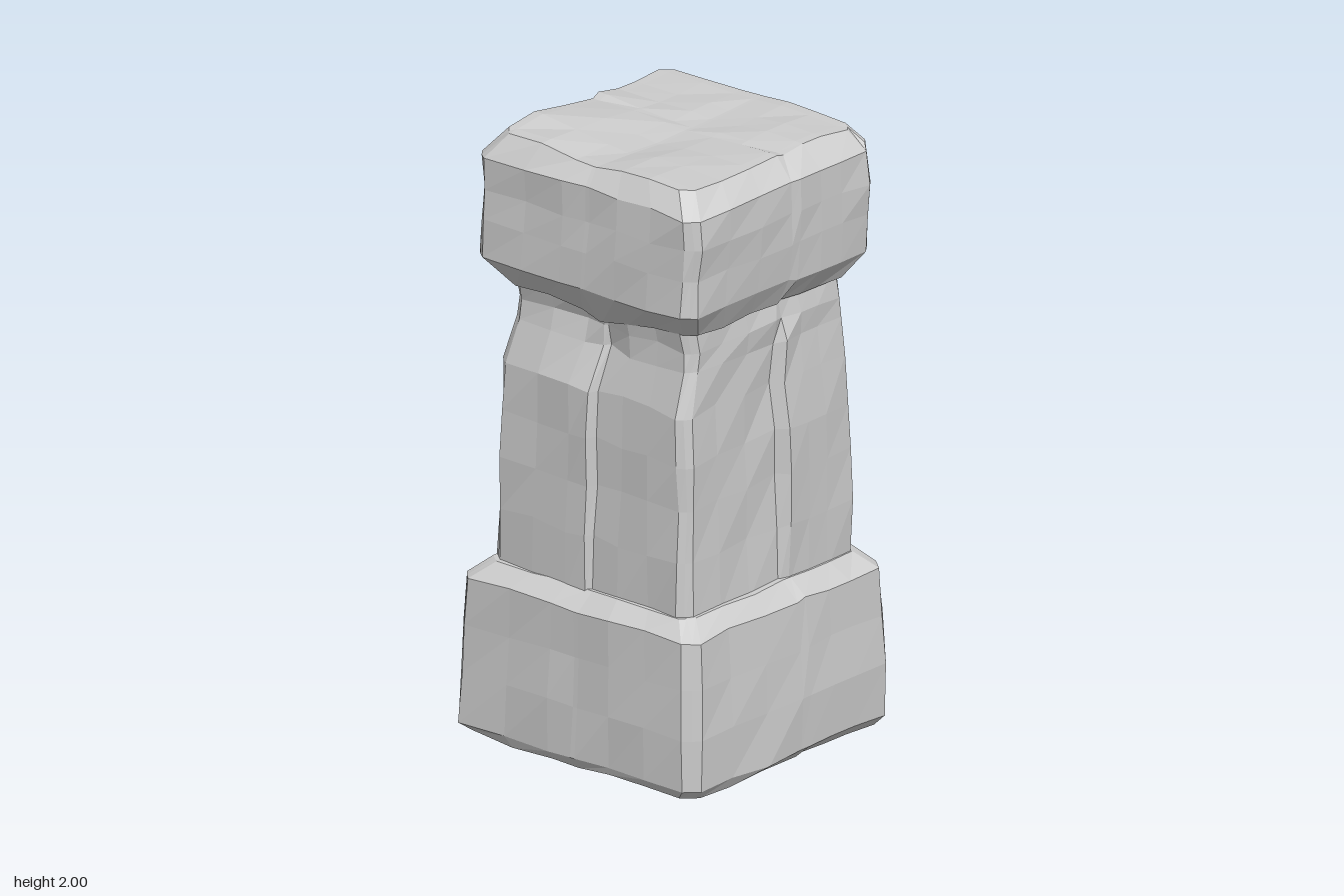
import * as THREE from 'three';

// Column positions across a block; the close pairs carry the cracks.
const COLS_X = [-1, -0.91, -0.55, -0.2, 0, 0.035, 0.3, 0.6, 0.91, 1];
const COLS_Z = [-1, -0.91, -0.62, -0.4, -0.17, -0.09, 0.25, 0.6, 0.91, 1];

// Repeatable value in -1..1 for a grid point
function hash(i, j, k, seed) {
  const s = Math.sin(i * 12.9898 + j * 78.233 + k * 37.719 + seed * 51.17) * 43758.5453;
  return (s - Math.floor(s)) * 2 - 1;
}

// Rough stone block. Each row is [y, xMin, xMax, zMin, zMax], bottom to top.
function stoneBlock(rows, { seed, rough, skew, adjust }) {
  const nx = COLS_X.length - 1, nz = COLS_Z.length - 1, ny = rows.length - 1;
  const geo = new THREE.BoxGeometry(2, 2, 2, nx, ny, nz);
  const pos = geo.attributes.position;
  for (let n = 0; n < pos.count; n++) {
    const i = Math.round((pos.getX(n) + 1) / 2 * nx);
    const j = Math.round((pos.getY(n) + 1) / 2 * ny);
    const k = Math.round((pos.getZ(n) + 1) / 2 * nz);
    const u = COLS_X[i], w = COLS_Z[k];
    const [y, x0, x1, z0, z1] = rows[j];
    // pull the vertical corners in to make a chamfer
    const c = Math.abs(u) === 1 && Math.abs(w) === 1 ? 0.955 : 1;
    const p = new THREE.Vector3(
      (x0 + x1) / 2 + u * c * (x1 - x0) / 2 + skew * w,
      y,
      (z0 + z1) / 2 + w * c * (z1 - z0) / 2 - skew * u);
    // coarse cells keep neighbouring crack columns together
    const a = Math.round(u * 4), b = Math.round(w * 4);
    if (Math.abs(u) === 1) p.x += rough * hash(a, j, b, seed);
    if (Math.abs(w) === 1) p.z += rough * hash(a, j, b, seed + 1);
    p.y += rough * hash(a, j, b, seed + 2);
    adjust?.(p, u, w, j);
    pos.setXYZ(n, p.x, Math.max(0, Math.min(2, p.y)), p.z);
  }
  geo.computeVertexNormals();
  return geo;
}

// Split face: one half stands proud, the other sinks, fading to the corners
function crackOffset(t, edge, depth) {
  return t <= edge ? depth * (1 + t) : -depth * (1 - t);
}

export function createModel() {
  const group = new THREE.Group();
  group.name = 'stonePillar';
  const stone = new THREE.MeshStandardMaterial({ color: 0xcccccc, flatShading: true });
  stone.name = 'grey stone';
  const add = (name, geo) => {
    const mesh = new THREE.Mesh(geo, stone);
    mesh.name = name;
    group.add(mesh);
  };

  // Base block with a bevelled top and a small bevel underneath
  add('base', stoneBlock([
    [0.01, -0.46, 0.47, -0.455, 0.455],
    [0.04, -0.495, 0.5, -0.475, 0.475],
    [0.21, -0.485, 0.498, -0.473, 0.473],
    [0.37, -0.477, 0.492, -0.468, 0.468],
    [0.525, -0.463, 0.482, -0.458, 0.465],
    [0.58, -0.4, 0.42, -0.405, 0.405],
  ], { seed: 3, rough: 0.007, skew: 0.016 }));

  // Shaft, cracked down the middle of its faces and pinched under the cap
  const crackStrength = [0.5, 0.8, 1, 1, 0.9, 0.6, 0.2, 0];
  add('shaft', stoneBlock([
    [0.55, -0.395, 0.41, -0.41, 0.395],
    [0.75, -0.392, 0.41, -0.412, 0.395],
    [0.92, -0.385, 0.41, -0.41, 0.393],
    [1.07, -0.378, 0.405, -0.4, 0.392],
    [1.23, -0.37, 0.4, -0.383, 0.388],
    [1.36, -0.352, 0.398, -0.37, 0.35],
    [1.43, -0.35, 0.395, -0.36, 0.342],
    [1.53, -0.34, 0.385, -0.35, 0.36],
  ], {
    seed: 8, rough: 0.008, skew: 0.008,
    adjust(p, u, w, j) {
      const s = crackStrength[j];
      if (w === 1) p.z += s * crackOffset(u, 0, 0.018);
      if (u === 1) p.x -= s * crackOffset(-w, 0.09, 0.02);
      if (u === -1) p.x += s * crackOffset(-w, 0.09, 0.014);
      if (w === -1) p.z += s * crackOffset(u, 0, 0.01);
      // hollow above the front crack and a chip on the back
      if (w === 1 && Math.abs(u) < 0.25 && (j === 5 || j === 6)) p.z -= 0.015;
      if (w === -1 && Math.abs(u) < 0.25 && (j === 4 || j === 5)) p.z += 0.03;
    },
  }));

  // Cap block, bevelled above and below, with an uneven top
  const topRow = 5;
  add('cap', stoneBlock([
    [1.49, -0.35, 0.4, -0.365, 0.36],
    [1.575, -0.435, 0.455, -0.435, 0.43],
    [1.7, -0.43, 0.46, -0.435, 0.425],
    [1.8, -0.43, 0.467, -0.43, 0.423],
    [1.905, -0.43, 0.465, -0.425, 0.423],
    [1.965, -0.375, 0.39, -0.405, 0.365],
  ], {
    seed: 14, rough: 0.007, skew: 0.009,
    adjust(p, u, w, j) {
      if (j === topRow) p.y += 0.03 * Math.exp(-3 * ((u + 0.9) ** 2 + (w - 0.6) ** 2))
        + 0.012 * Math.exp(-6 * (u - 0.6) ** 2) - 0.012 * Math.exp(-4 * (u * u + w * w));
      // underside sags at the middle of the front
      if (j === 0 && w > 0.8) p.y -= 0.03 * Math.exp(-6 * u * u);
      // back edge stays nearly square
      if (j === topRow - 1 && w === -1) p.y += 0.02;
    },
  }));

  return group;
}
